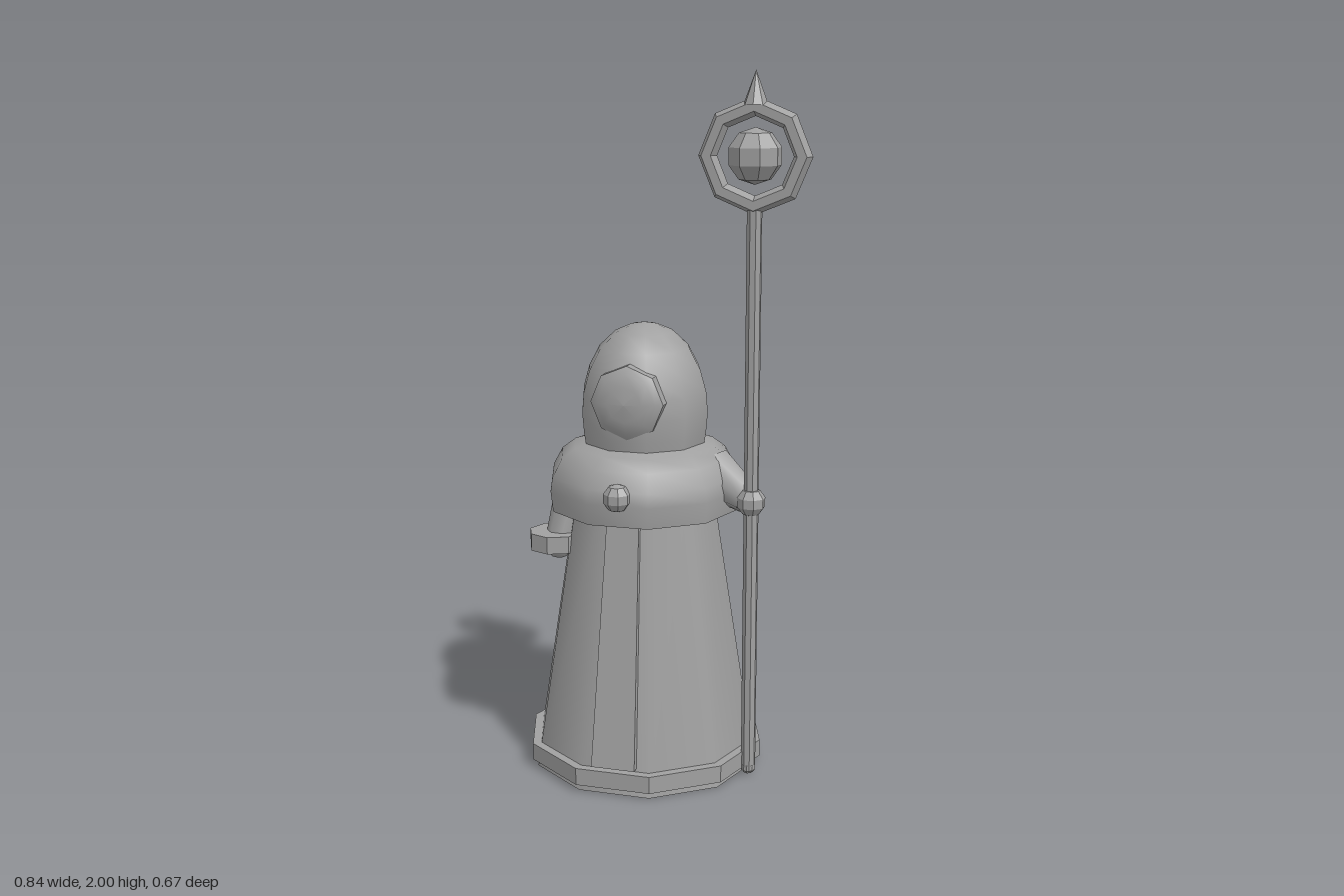
import * as THREE from 'three';

const stone = new THREE.MeshStandardMaterial({ color: 0xa0a0a0 });
stone.name = 'plain grey';

const CX = -0.075;        // axis of the robed body
const SX = 0.26, SZ = 0.085; // axis of the staff

function flat(geometry) {
  const g = geometry.index ? geometry.toNonIndexed() : geometry;
  g.computeVertexNormals();
  return g;
}

function add(parent, name, geometry, x = 0, y = 0, z = 0) {
  const mesh = new THREE.Mesh(geometry, stone);
  mesh.name = name;
  mesh.position.set(x, y, z);
  parent.add(mesh);
  return mesh;
}

function lathe(points, sides) {
  return new THREE.LatheGeometry(points.map(([r, y]) => new THREE.Vector2(r, y)), sides);
}

// Tapered limb between two points
function limb(parent, name, a, b, ra, rb) {
  const from = new THREE.Vector3(...a), to = new THREE.Vector3(...b);
  const dir = to.clone().sub(from);
  const mesh = add(parent, name, new THREE.CylinderGeometry(rb, ra, dir.length(), 8));
  mesh.position.copy(from).addScaledVector(dir, 0.5);
  mesh.quaternion.setFromUnitVectors(new THREE.Vector3(0, 1, 0), dir.normalize());
  return mesh;
}

export function createModel() {
  const model = new THREE.Group();
  model.name = 'robedFigure';

  // Ten-sided body, with corners on the x axis
  const body = new THREE.Group();
  body.name = 'body';
  body.position.x = CX;
  body.rotation.y = Math.PI / 10;
  model.add(body);
  add(body, 'robe', new THREE.CylinderGeometry(0.2, 0.335, 0.85, 10), 0, 0.425, 0);
  add(body, 'hemBand', flat(new THREE.CylinderGeometry(0.35, 0.35, 0.05, 10)), 0, 0.046, 0);
  add(body, 'cape', lathe([[0.277, 0.77], [0.284, 0.83], [0.278, 0.87], [0.25, 0.92], [0.21, 0.95], [0.15, 0.97]], 10));
  const under = add(body, 'capeUnderside', new THREE.CircleGeometry(0.277, 10), 0, 0.77, 0);
  under.rotation.set(Math.PI / 2, 0, Math.PI / 10 * 5);
  add(body, 'hood', lathe([[0.174, 0.94], [0.182, 0.99], [0.187, 1.05], [0.182, 1.11], [0.165, 1.17],
    [0.133, 1.23], [0.085, 1.275], [0.04, 1.295], [0, 1.302]], 10));

  // Domed face plate
  const face = new THREE.Group();
  face.name = 'face';
  face.position.set(CX, 1.1, 0);
  face.rotation.x = Math.PI / 2;
  model.add(face);
  add(face, 'faceRim', flat(new THREE.CylinderGeometry(0.105, 0.105, 0.035, 8)), 0, 0.157, 0);
  add(face, 'faceDome', lathe([[0.105, 0.174], [0.085, 0.188], [0.05, 0.2], [0, 0.205]], 8));

  // Tapered strip down the front of the robe
  const strip = new THREE.BoxGeometry(1, 1, 0.04);
  const p = strip.attributes.position;
  for (let i = 0; i < p.count; i++) {
    const t = p.getY(i) + 0.5;
    p.setXYZ(i, p.getX(i) * (0.127 - 0.035 * t), 0.08 + 0.72 * t, 0.309 - 0.115 * t + p.getZ(i));
  }
  strip.computeVertexNormals();
  add(model, 'frontStrip', strip, CX);

  // Brooch on the cape
  const brooch = flat(new THREE.SphereGeometry(0.04, 8, 5).rotateY(Math.PI / 8));
  add(model, 'brooch', brooch, CX, 0.855, 0.27);

  // Lowered right arm with a broad cuff
  limb(model, 'rightArm', [-0.265, 0.86, 0.03], [-0.308, 0.65, 0.085], 0.06, 0.045);
  add(model, 'rightHand', new THREE.SphereGeometry(0.042, 8, 6), -0.31, 0.652, 0.087);
  add(model, 'rightCuff', flat(new THREE.CylinderGeometry(0.08, 0.08, 0.05, 8)), -0.317, 0.668, 0.09);

  // Left arm reaching to the staff
  limb(model, 'leftArm', [0.13, 0.875, 0.0], [0.245, 0.822, 0.06], 0.075, 0.045);
  add(model, 'leftHand', flat(new THREE.SphereGeometry(0.042, 8, 5).rotateY(Math.PI / 8)), SX, 0.82, SZ);

  // Staff with ring, gem and spike
  const staff = new THREE.Group();
  staff.name = 'staff';
  staff.position.set(SX, 0, SZ);
  model.add(staff);
  add(staff, 'shaft', flat(new THREE.CylinderGeometry(0.021, 0.021, 1.63, 8).rotateY(Math.PI / 8)), 0, 0.83, 0);
  add(staff, 'shaftTip', flat(new THREE.SphereGeometry(0.022, 8, 5)), 0, 0.024, 0);
  add(staff, 'ring', flat(new THREE.TorusGeometry(0.131, 0.026, 6, 8)), 0, 1.775, 0);
  add(staff, 'gem', flat(new THREE.SphereGeometry(0.076, 8, 5).rotateY(Math.PI / 8)), 0, 1.775, 0);
  add(staff, 'spike', flat(new THREE.ConeGeometry(0.034, 0.09, 8)), 0, 1.955, 0);

  return model;
}
